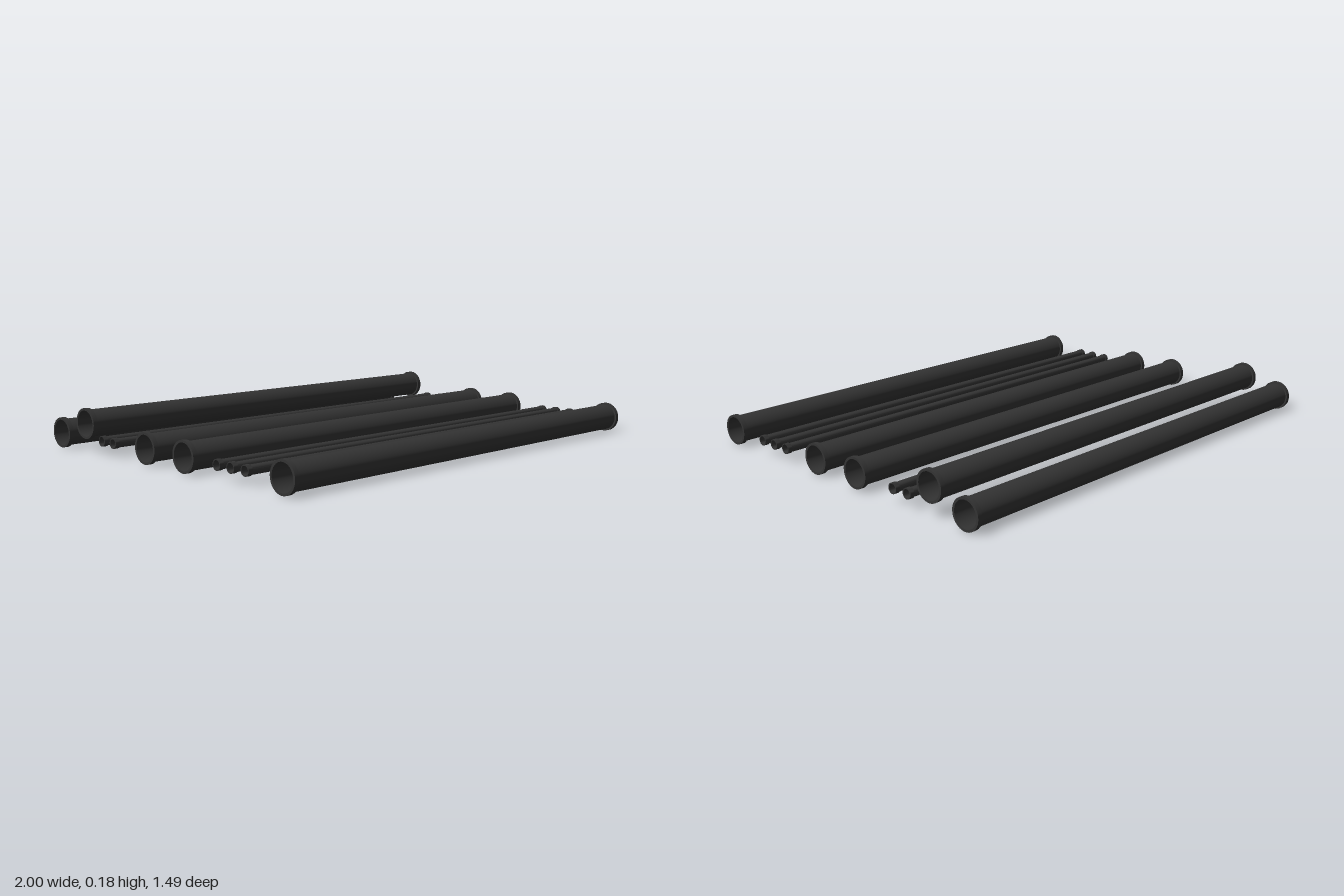
import * as THREE from 'three';
import { toCreasedNormals } from 'three/addons/utils/BufferGeometryUtils.js';

const HALF = 1; // half the pipe length
const FLANGE = 0.019; // width of the end collars

// Hollow pipe along x with a collar at each end
function pipeGeometry(bore, radius, collar, segments) {
  const inner = HALF - FLANGE;
  const profile = [
    [bore, -HALF], [collar, -HALF], [collar, -inner], [radius, -inner],
    [radius, inner], [collar, inner], [collar, HALF], [bore, HALF], [bore, -HALF],
  ].map(([r, y]) => new THREE.Vector2(r, y));
  const geometry = new THREE.LatheGeometry(profile, segments);
  geometry.rotateZ(-Math.PI / 2);
  return toCreasedNormals(geometry, Math.PI / 5);
}

export function createModel() {
  const model = new THREE.Group();
  model.name = 'pipeSet';
  const material = new THREE.MeshStandardMaterial({ color: 0x333333 });

  const large = pipeGeometry(0.0535, 0.0555, 0.063, 40);
  const small = pipeGeometry(0.0175, 0.0185, 0.0215, 24);

  const addPipes = (name, geometry, places) => {
    places.forEach(([z, y], i) => {
      const pipe = new THREE.Mesh(geometry, material);
      pipe.name = name + (i + 1);
      pipe.position.set(0, y, z);
      model.add(pipe);
    });
  };

  // Wide pipes, one of them raised
  addPipes('largePipe', large, [
    [0.682, 0.063], [0.141, 0.064], [-0.096, 0.066], [-0.503, 0.119], [-0.682, 0.063],
  ]);

  // Thin pipes between the wide ones
  addPipes('smallPipe', small, [
    [0.489, 0.06], [0.412, 0.06], [0.335, 0.06], [-0.309, 0.06], [-0.386, 0.06],
  ]);

  return model;
}
